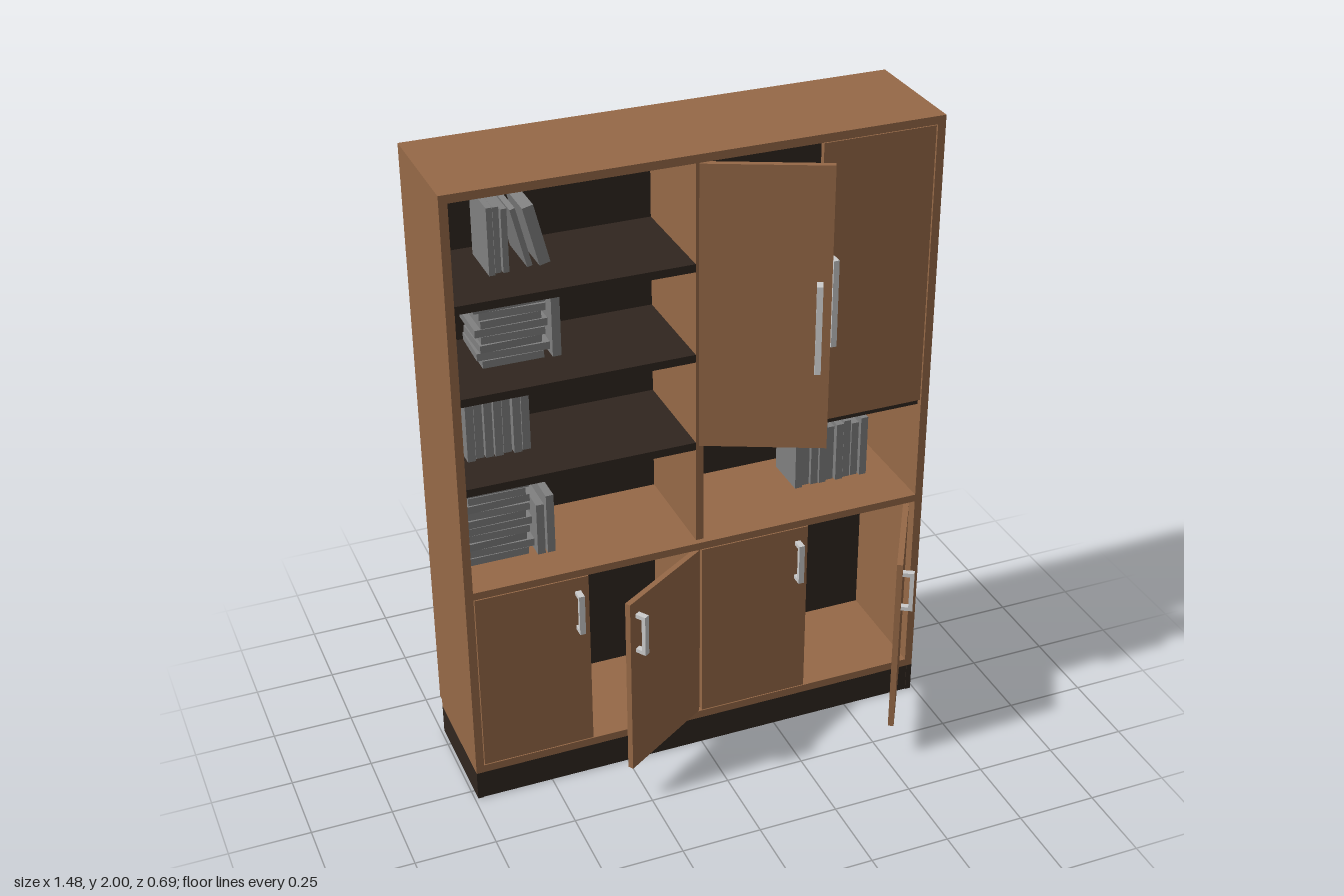
import * as THREE from 'three';

const mat = (color) => new THREE.MeshStandardMaterial({ color });
const wood = mat(0x966947), dark = mat(0x30261f), steel = mat(0xcccccc), paper = mat(0x808080);

// Box given by its lower and upper limits on each axis
function slab(parent, name, material, [x0, x1], [y0, y1], [z0, z1]) {
  const mesh = new THREE.Mesh(new THREE.BoxGeometry(x1 - x0, y1 - y0, z1 - z0), material);
  mesh.position.set((x0 + x1) / 2, (y0 + y1) / 2, (z0 + z1) / 2);
  mesh.name = name;
  parent.add(mesh);
  return mesh;
}

function group(parent, name) {
  const g = new THREE.Group();
  g.name = name;
  parent.add(g);
  return g;
}

// Door hanging from a hinge, reaching in direction dir, with a bow handle near its free edge
function door(parent, name, hinge, dir, width, y, handleY, degrees) {
  const g = group(parent, name);
  g.position.set(hinge, 0, 0.04);
  g.rotation.y = -dir * THREE.MathUtils.degToRad(degrees);
  slab(g, 'doorPanel', wood, dir > 0 ? [0, width] : [-width, 0], y, [-0.018, 0]);
  const handle = group(g, 'handle');
  const x = dir * (width - 0.034), [h0, h1] = handleY, t = 0.013;
  const across = [x - 0.009, x + 0.009];
  slab(handle, 'handleBar', steel, across, handleY, [0.022, 0.035]);
  slab(handle, 'handlePost', steel, across, [h0, h0 + t], [0, 0.022]);
  slab(handle, 'handlePost', steel, across, [h1 - t, h1], [0, 0.022]);
}

// Repeatable variation between -1 and 1
const vary = (i) => Math.sin(i * 2.4 + 0.7);

// Row of upright books from x0 to x1
function bookRow(parent, x0, x1, y, count, height, front = -0.13) {
  const g = group(parent, 'bookRow'), step = (x1 - x0) / count;
  for (let i = 0; i < count; i++) {
    const x = x0 + i * step;
    slab(g, 'book', paper, [x, x + step - 0.004], [y, y + height + 0.009 * vary(i)],
      [-0.28, front + 0.006 * vary(i + 3)]);
  }
}

// Pile of lying books
function bookStack(parent, x0, x1, y, count, height, front) {
  const g = group(parent, 'bookStack'), step = height / count;
  for (let i = 0; i < count; i++) {
    const inset = 0.01 + 0.01 * vary(i * 1.7), shift = 0.006 * vary(i + 5);
    const book = slab(g, 'book', paper, [x0 + inset + shift, x1 - inset + shift],
      [y + i * step, y + (i + 1) * step - 0.002], [-0.275, front]);
    book.rotation.y = 0.03 * vary(i + 1);
  }
}

export function createModel() {
  const model = new THREE.Group();
  model.name = 'bookcase';
  const inner = [-0.715, 0.715];

  // Carcass
  slab(model, 'topBoard', wood, [-0.74, 0.74], [1.975, 2], [-0.345, 0.04]);
  slab(model, 'baseBoard', wood, [-0.74, 0.74], [0.096, 0.122], [-0.325, 0.04]);
  slab(model, 'middleBoard', wood, inner, [0.728, 0.752], [-0.325, 0.04]);
  slab(model, 'backPanel', dark, inner, [0.096, 1.975], [-0.34, -0.325]);
  for (const s of [-1, 1]) {
    const outer = s < 0 ? [-0.74, -0.715] : [0.715, 0.74];
    slab(model, 'sidePanel', wood, outer, [0.122, 1.975], [-0.345, 0.04]);
    slab(model, 'plinthSide', dark, s < 0 ? [-0.74, -0.722] : [0.722, 0.74], [0, 0.096], [-0.325, 0.04]);
  }
  slab(model, 'plinthFront', dark, [-0.722, 0.722], [0, 0.096], [0.02, 0.038]);
  slab(model, 'upperDivider', wood, [-0.012, 0.012], [0.752, 1.975], [-0.325, 0.021]);
  slab(model, 'lowerDivider', wood, [-0.012, 0.012], [0.122, 0.728], [-0.325, 0.021]);

  // Shelves in both upper bays
  for (const y of [1.065, 1.355, 1.64]) {
    slab(model, 'shelf', dark, [-0.715, -0.012], [y, y + 0.025], [-0.325, 0.02]);
    slab(model, 'shelf', dark, [0.012, 0.715], [y, y + 0.025], [-0.325, 0.02]);
  }

  // Doors, some standing open
  const low = [0.125, 0.725], lowHandle = [0.545, 0.68];
  const high = [1.09, 1.973], highHandle = [1.35, 1.625];
  door(model, 'lowerDoorOuterRight', -0.712, 1, 0.35, low, lowHandle, 0);
  door(model, 'lowerDoorInnerRight', -0.01, -1, 0.35, low, lowHandle, 33);
  door(model, 'lowerDoorInnerLeft', 0, 1, 0.35, low, lowHandle, 0);
  door(model, 'lowerDoorOuterLeft', 0.695, -1, 0.35, low, lowHandle, 60);
  door(model, 'upperDoorInner', -0.01, 1, 0.37, high, highHandle, 24.5);
  door(model, 'upperDoorOuter', 0.711, -1, 0.348, high, highHandle, 0);

  // Top shelf: three upright books and two leaning ones
  bookRow(model, -0.566, -0.502, 1.665, 3, 0.197);
  for (const [x, w] of [[-0.468, 0.016], [-0.424, 0.033]]) {
    const book = slab(model, 'leaningBook', paper, [x - w / 2, x + w / 2], [1.669, 1.853], [-0.285, -0.13]);
    book.rotation.z = 0.24;
  }

  // Remaining books
  bookStack(model, -0.615, -0.4, 1.38, 10, 0.25, -0.13);
  bookRow(model, -0.392, -0.362, 1.38, 1, 0.19);
  bookRow(model, -0.66, -0.463, 1.09, 7, 0.2);
  bookStack(model, -0.695, -0.482, 0.752, 10, 0.258, -0.1);
  bookRow(model, -0.475, -0.447, 0.752, 1, 0.165, -0.09);
  bookRow(model, -0.444, -0.416, 0.752, 1, 0.19, -0.09);
  bookRow(model, 0.385, 0.634, 0.752, 9, 0.196, -0.14);
  return model;
}
